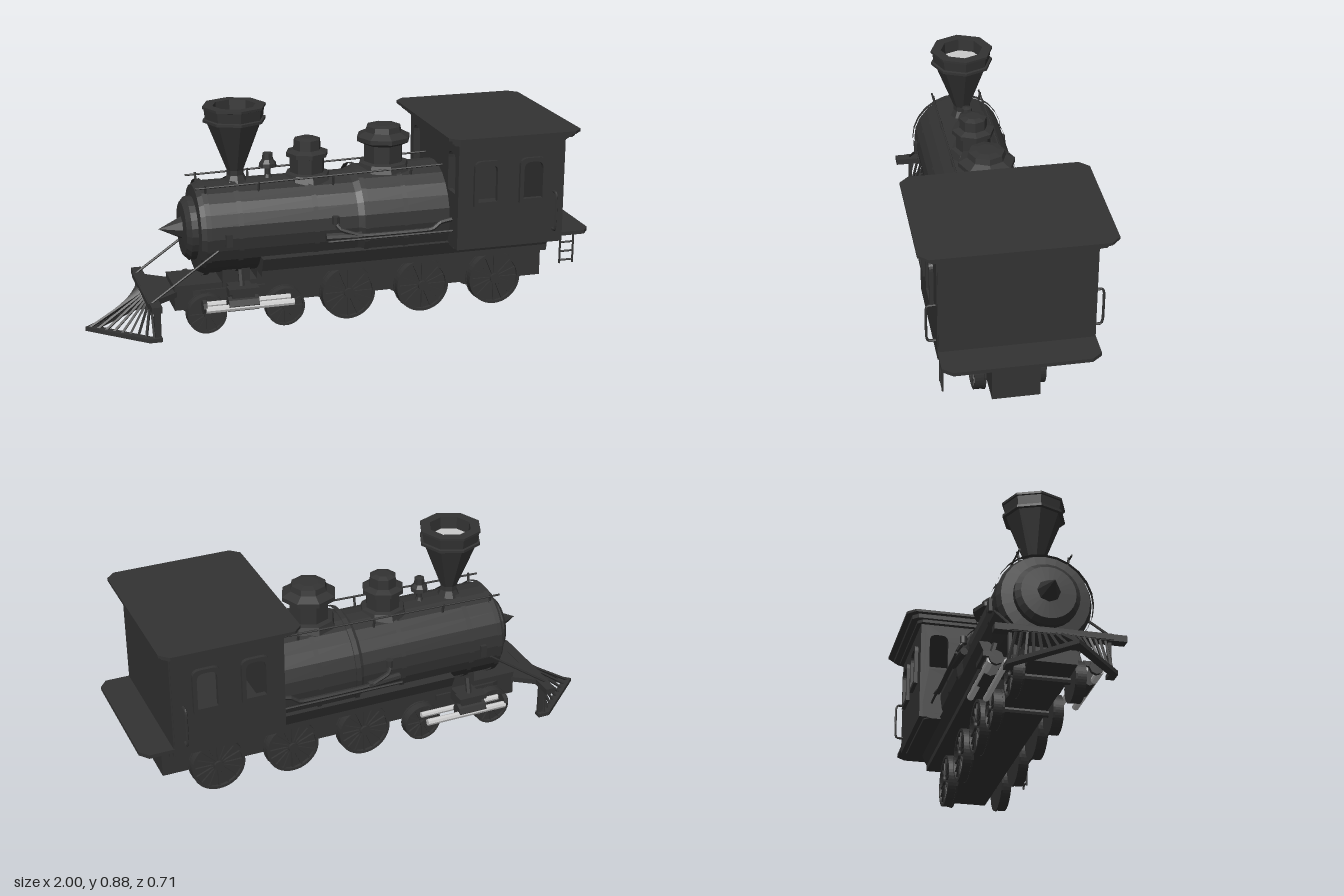
import * as THREE from 'three';

const dark = new THREE.MeshStandardMaterial({ color: 0x333333, flatShading: true, side: THREE.DoubleSide });
const silver = new THREE.MeshStandardMaterial({ color: 0xcccccc, flatShading: true, side: THREE.DoubleSide });
const V = (x, y, z) => new THREE.Vector3(x, y, z);

export function createModel() {
  const root = new THREE.Group();
  root.name = 'steamLocomotive';

  function add(name, geo, x = 0, y = 0, z = 0, mat = dark, parent = root) {
    const m = new THREE.Mesh(geo, mat);
    m.name = name;
    m.position.set(x, y, z);
    parent.add(m);
    return m;
  }
  // box given by its limits
  const box = (name, x0, x1, y0, y1, z0, z1, mat) =>
    add(name, new THREE.BoxGeometry(x1 - x0, y1 - y0, z1 - z0), (x0 + x1) / 2, (y0 + y1) / 2, (z0 + z1) / 2, mat);
  // round bar between two points
  function rod(name, a, b, r, mat = dark, sides = 6) {
    const d = b.clone().sub(a);
    const m = add(name, new THREE.CylinderGeometry(r, r, d.length(), sides), 0, 0, 0, mat);
    m.position.copy(a).add(b).multiplyScalar(0.5);
    m.quaternion.setFromUnitVectors(V(0, 1, 0), d.normalize());
    return m;
  }
  const lathe = (pts, n) => new THREE.LatheGeometry(pts.map(p => new THREE.Vector2(p[0], p[1])), n);
  const poly = pts => new THREE.Shape(pts.map(p => new THREE.Vector2(p[0], p[1])));
  const extrude = (shape, depth) => new THREE.ExtrudeGeometry(shape, { depth, bevelEnabled: false, curveSegments: 5 });
  const tube = (name, pts, r) =>
    add(name, new THREE.TubeGeometry(new THREE.CatmullRomCurve3(pts, false, 'catmullrom', 0.2), 28, r, 6));
  // horizontal plate from an outline in x and z
  function plate(name, pts, y0, y1) {
    const m = add(name, extrude(poly(pts), y1 - y0), 0, y0, 0);
    m.rotation.x = -Math.PI / 2;
    return m;
  }
  const clipped = (x0, x1, w, c) => [[x0 + c, -w], [x1 - c, -w], [x1, -w + c], [x1, w - c], [x1 - c, w], [x0 + c, w], [x0, w - c], [x0, -w + c]];
  // arched window outline
  function arch(x0, x1, y0, y1, Kind = THREE.Path) {
    const r = (x1 - x0) / 2, c = Math.min(r, 0.03), p = new Kind();
    p.moveTo(x0, y0);
    p.lineTo(x1, y0);
    p.lineTo(x1, y1 - c);
    p.quadraticCurveTo(x1, y1, x1 - c, y1);
    p.lineTo(x0 + c, y1);
    p.quadraticCurveTo(x0, y1, x0, y1 - c);
    p.lineTo(x0, y0);
    return p;
  }

  // boiler with rounded smokebox front, lying along x
  const boiler = add('boiler', lathe([[0.2, -0.44], [0.2, -0.1], [0.183, -0.06], [0.183, 0.535], [0.17, 0.562],
    [0.125, 0.565], [0.125, 0.59], [0.105, 0.608], [0, 0.612]], 24), 0, 0.405, 0);
  boiler.rotation.z = Math.PI / 2;
  for (const [x, r] of [[-0.535, 0.184], [-0.41, 0.184], [-0.11, 0.184], [0.09, 0.201], [0.25, 0.201]]) {
    const band = add('boilerBand', new THREE.CylinderGeometry(r + 0.006, r + 0.006, 0.02, 24, 1, true), x, 0.405, 0);
    band.rotation.z = Math.PI / 2;
  }
  const nose = add('smokeboxNose', new THREE.ConeGeometry(0.05, 0.1, 8), -0.65, 0.41, 0);
  nose.rotation.z = Math.PI / 2;

  // chimney, bell and domes
  add('chimney', lathe([[0.05, 0.575], [0.034, 0.61], [0.034, 0.63], [0.11, 0.825], [0.125, 0.825], [0.125, 0.835],
    [0.115, 0.837], [0.12, 0.876], [0.126, 0.878], [0.126, 0.887], [0.085, 0.887], [0.08, 0.82]], 8), -0.39);
  add('chimneyMouth', new THREE.CylinderGeometry(0.083, 0.083, 0.006, 8), -0.39, 0.835, 0, silver);
  add('bell', lathe([[0.022, 0.575], [0.012, 0.6], [0.012, 0.625], [0.036, 0.63], [0.034, 0.645], [0.022, 0.66],
    [0.02, 0.685], [0, 0.69]], 8), -0.26);
  add('sandDome', lathe([[0.1, 0.565], [0.088, 0.595], [0.07, 0.6], [0.07, 0.66], [0.085, 0.664], [0.085, 0.68],
    [0.056, 0.69], [0.054, 0.73], [0.03, 0.738], [0, 0.738]], 8), -0.1);
  add('steamDome', lathe([[0.11, 0.585], [0.1, 0.615], [0.08, 0.62], [0.08, 0.69], [0.11, 0.705], [0.11, 0.722],
    [0.075, 0.74], [0.07, 0.762], [0.04, 0.768], [0, 0.768]], 8), 0.215);

  // frame, firebox and skirt under the boiler
  box('frame', -0.66, 0.87, 0.1, 0.2, -0.09, 0.09);
  box('firebox', -0.33, 0.87, 0.18, 0.325, -0.09, 0.09);
  const skirt = add('runningBoardSkirt', extrude(poly([[-0.175, 0.235], [0.175, 0.235], [0.175, 0.26], [0.2, 0.315],
    [-0.2, 0.315], [-0.175, 0.26]]), 1.19), -0.33);
  skirt.rotation.y = Math.PI / 2;
  box('smokeboxSaddle', -0.47, -0.36, 0.18, 0.26, -0.1, 0.1);

  // cab walls with arched windows
  for (const s of [1, -1]) {
    const wall = poly([[0.43, 0.31], [0.87, 0.31], [0.87, 0.75], [0.43, 0.75]]);
    for (const x of [0.5, 0.69]) {
      wall.holes.push(arch(x, x + 0.095, 0.495, 0.66));
      const frame = arch(x - 0.008, x + 0.103, 0.487, 0.668, THREE.Shape);
      frame.holes.push(arch(x + 0.008, x + 0.087, 0.503, 0.652));
      add('windowFrame', extrude(frame, 0.02), 0, 0, s > 0 ? 0.283 : -0.303);
    }
    add('cabSide', extrude(wall, 0.02), 0, 0, s > 0 ? 0.268 : -0.288);
    tube('cabHandrail', [V(0.83, 0.52, s * 0.28), V(0.83, 0.52, s * 0.315), V(0.83, 0.5, s * 0.322),
      V(0.83, 0.39, s * 0.322), V(0.83, 0.367, s * 0.315), V(0.83, 0.367, s * 0.28)], 0.005);
  }
  const front = poly([[-0.285, 0.31], [0.285, 0.31], [0.285, 0.75], [-0.285, 0.75]]);
  for (const z of [-0.25, 0.17]) front.holes.push(arch(z, z + 0.08, 0.53, 0.69));
  add('cabFront', extrude(front, 0.02), 0.43).rotation.y = Math.PI / 2;
  box('cabBack', 0.855, 0.875, 0.31, 0.75, -0.285, 0.285);
  plate('cabFloor', clipped(0.43, 0.875, 0.265, 0.02), 0.305, 0.33);
  plate('cornice', clipped(0.41, 0.89, 0.305, 0.02), 0.735, 0.75);
  plate('roofEdge', clipped(0.395, 0.905, 0.33, 0.025), 0.748, 0.768);
  plate('roof', clipped(0.375, 0.92, 0.355, 0.035), 0.766, 0.777);
  plate('rearPlatform', [[0.86, -0.288], [0.97, -0.288], [1, -0.25], [1, 0.25], [0.97, 0.288], [0.86, 0.288]], 0.33, 0.345);

  // step ladder
  for (const x of [0.872, 0.928]) rod('ladderRail', V(x, 0.212, 0.28), V(x, 0.335, 0.28), 0.004);
  for (const y of [0.225, 0.262, 0.3]) rod('ladderRung', V(0.872, y, 0.28), V(0.928, y, 0.28), 0.004);

  // wheels with raised spokes, on both sides
  function wheel(name, x, r, spokes, s) {
    const g = new THREE.Group();
    g.name = name;
    g.position.set(x, r + 0.007, s * 0.115);
    if (s < 0) g.rotation.y = Math.PI;
    root.add(g);
    const disc = (n, rad, z0, z1) => {
      add(n, new THREE.CylinderGeometry(rad, rad, z1 - z0, 24), 0, 0, (z0 + z1) / 2, dark, g).rotation.x = Math.PI / 2;
    };
    disc('wheelFlange', r, -0.022, -0.014);
    disc('wheelWeb', r * 0.93, -0.014, 0.008);
    disc('wheelHub', r * 0.17, 0, 0.025);
    const tyre = new THREE.Shape().absarc(0, 0, r * 0.97, 0, Math.PI * 2);
    tyre.holes.push(new THREE.Path().absarc(0, 0, r * 0.87, 0, Math.PI * 2));
    add('wheelTyre', new THREE.ExtrudeGeometry(tyre, { depth: 0.034, bevelEnabled: false, curveSegments: 24 }), 0, 0, -0.014, dark, g);
    for (let i = 0; i < spokes; i++) {
      const a = i / spokes * Math.PI * 2;
      const spoke = add('wheelSpoke', new THREE.BoxGeometry(r * 0.78, r * 0.07, 0.01),
        Math.cos(a) * r * 0.5, Math.sin(a) * r * 0.5, 0.011, dark, g);
      spoke.rotation.z = a;
    }
  }
  for (const s of [1, -1]) {
    for (const x of [0.035, 0.345, 0.655]) wheel('drivingWheel', x, 0.112, 16, s);
    for (const x of [-0.54, -0.225]) wheel('leadingWheel', x, 0.08, 12, s);
  }
  for (const x of [0.035, 0.345, 0.655]) rod('axle', V(x, 0.119, -0.12), V(x, 0.119, 0.12), 0.018, dark, 8);
  for (const x of [-0.54, -0.225]) rod('leadingAxle', V(x, 0.087, -0.12), V(x, 0.087, 0.12), 0.014, dark, 8);

  // fittings mirrored on both sides
  for (const s of [1, -1]) {
    rod('steamCylinder', V(-0.47, 0.142, s * 0.187), V(-0.35, 0.142, s * 0.187), 0.031, dark, 8);
    rod('pistonRod', V(-0.56, 0.134, s * 0.205), V(-0.21, 0.134, s * 0.205), 0.014, silver, 8);
    rod('crosshead', V(-0.57, 0.142, s * 0.187), V(-0.555, 0.142, s * 0.187), 0.028, dark, 8);
    rod('guideBar', V(-0.56, 0.134, s * 0.145), V(-0.21, 0.134, s * 0.145), 0.012, silver, 8);
    add('valveChest', new THREE.BoxGeometry(0.12, 0.02, 0.05), -0.41, 0.2, s * 0.19);
    add('valveChestBase', new THREE.BoxGeometry(0.09, 0.05, 0.1), -0.41, 0.175, s * 0.15);
    rod('steamPipe', V(-0.41, 0.2, s * 0.175), V(-0.41, 0.27, s * 0.155), 0.012);
    rod('smokeboxBrace', V(-0.765, 0.175, s * 0.178), V(-0.5, 0.36, s * 0.178), 0.005);
    add('braceBracket', new THREE.BoxGeometry(0.025, 0.05, 0.02), -0.46, 0.4, s * 0.184);
    // boiler rail with posts
    rod('boilerRail', V(-0.57, 0.59, s * 0.1), V(0.43, 0.61, s * 0.1), 0.004);
    for (const x of [-0.53, -0.32, -0.02, 0.3])
      rod('railPost', V(x, 0.55, s * 0.09), V(x, 0.6, s * 0.1), 0.005);
    // side pipework and pump
    tube('feedPipe', [V(-0.04, 0.46, s * 0.19), V(-0.035, 0.42, s * 0.215), V(0, 0.405, s * 0.22), V(0.07, 0.385, s * 0.225),
      V(0.34, 0.385, s * 0.225), V(0.38, 0.41, s * 0.222), V(0.44, 0.42, s * 0.22)], 0.009);
    rod('feedPump', V(-0.08, 0.385, s * 0.205), V(0.06, 0.385, s * 0.22), 0.016, dark, 8);
    rod('feedValve', V(-0.04, 0.435, s * 0.2), V(-0.04, 0.465, s * 0.2), 0.015, dark, 8);
    rod('reachRod', V(-0.08, 0.375, s * 0.236), V(0.43, 0.375, s * 0.236), 0.005);
  }

  // front deck and buffer beam
  plate('frontDeck', [[-0.78, -0.19], [-0.72, -0.14], [-0.63, -0.075], [-0.56, -0.1], [-0.3, -0.1],
    [-0.3, 0.1], [-0.56, 0.1], [-0.63, 0.075], [-0.72, 0.14], [-0.78, 0.19]], 0.155, 0.177);
  box('bufferBeam', -0.775, -0.735, 0.153, 0.178, -0.24, 0.24);

  // cowcatcher: slats fan down to a V-shaped foot
  for (let i = -8; i <= 8; i++) {
    const t = i / 8;
    rod('cowcatcherSlat', V(-0.765, 0.165, t * 0.16), V(-0.985 + 0.225 * Math.abs(t), 0.03, t * 0.19), 0.006, dark, 4);
  }
  plate('cowcatcherFoot', [[-1, 0], [-0.78, 0.2], [-0.73, 0.2], [-0.73, 0.17], [-0.77, 0.17], [-0.955, 0],
    [-0.77, -0.17], [-0.73, -0.17], [-0.73, -0.2], [-0.78, -0.2]], 0.02, 0.036);
  for (const s of [1, -1]) {
    add('cowcatcherPost', new THREE.BoxGeometry(0.025, 0.135, 0.012), -0.745, 0.095, s * 0.18);
  }
  return root;
}
